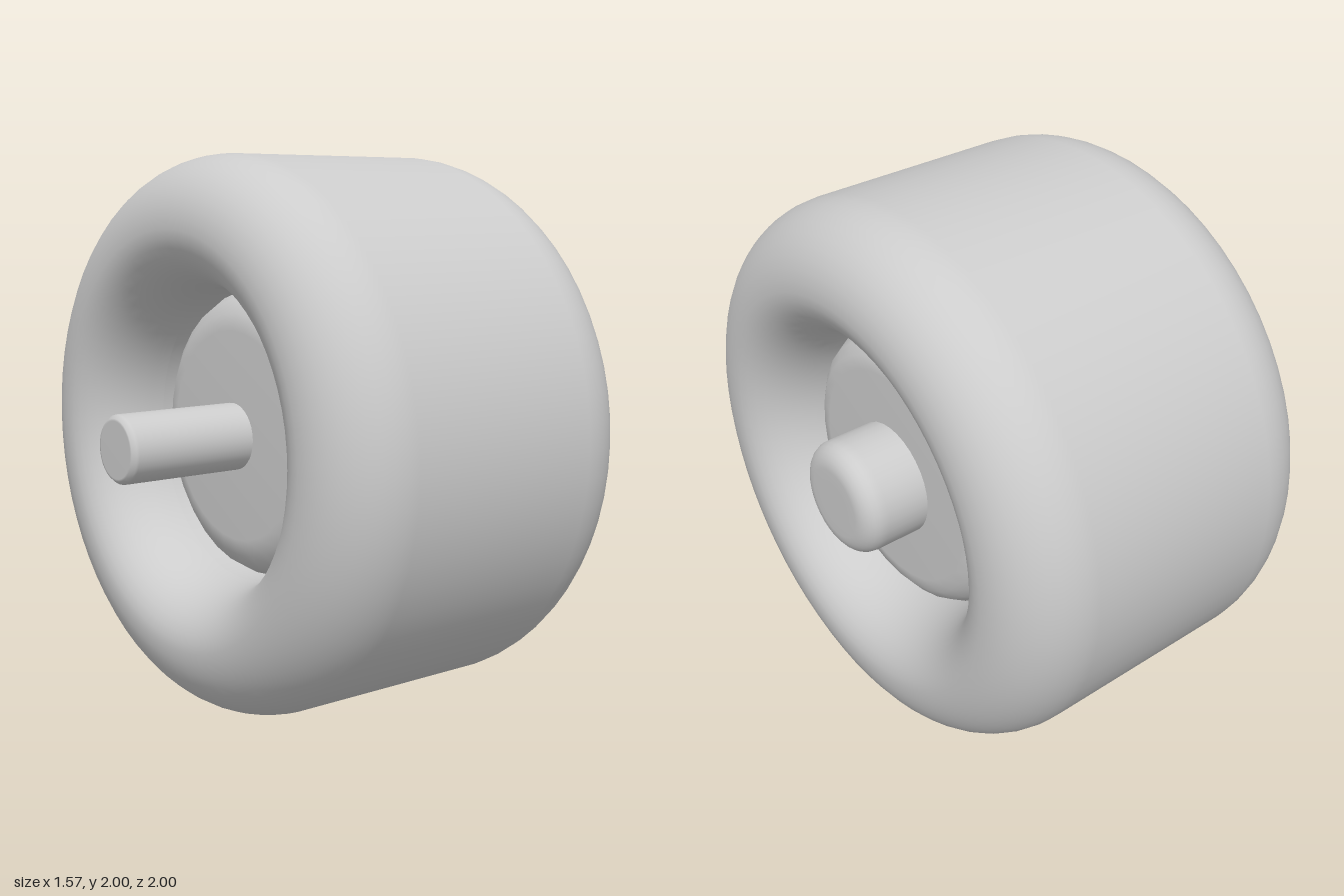
import * as THREE from 'three';

const grey = new THREE.MeshStandardMaterial({ color: 0xcccccc });
grey.name = 'plain grey';

// Revolves [radius, x] points, listed from -x to +x on the outside, about the wheel axis.
function turned(name, points, segments) {
  const profile = points.map(([r, x]) => new THREE.Vector2(r, x));
  const geometry = new THREE.LatheGeometry(profile, segments);
  geometry.rotateZ(-Math.PI / 2);
  geometry.translate(0, 1, 0);
  const mesh = new THREE.Mesh(geometry, grey);
  mesh.name = name;
  return mesh;
}

// Elliptical arc of profile points, angles in quarter turns.
function arc(r, x, radiusR, radiusX, from, to, steps = 10) {
  return Array.from({ length: steps + 1 }, (_, i) => {
    const a = (from + (to - from) * i / steps) * Math.PI / 2;
    return [r + radiusR * Math.cos(a), x + radiusX * Math.sin(a)];
  });
}

export function createModel() {
  const wheel = new THREE.Group();
  wheel.name = 'wheel';

  // Tyre: rounded shoulders and bowl-shaped recesses on both sides
  wheel.add(turned('tyre', [
    ...arc(0.74, -0.27, 0.21, 0.30, -2, -1),
    ...arc(0.74, -0.30, 0.26, 0.27, -1, 0).slice(1),
    ...arc(0.74, 0.465, 0.26, 0.27, 0, 1),
    ...arc(0.74, 0.435, 0.21, 0.30, 1, 2).slice(1),
    [0.53, 0.2], [0.53, -0.27],
  ], 64));

  // Hub: thick disc with softened rims, filling the middle of the tyre
  wheel.add(turned('hub', [
    [0, -0.30], [0.38, -0.30], [0.44, -0.285], [0.49, -0.25], [0.52, -0.20],
    [0.535, -0.1], [0.535, 0.36], [0.52, 0.45], [0.49, 0.50], [0.45, 0.53],
    [0.40, 0.54], [0, 0.54],
  ], 32));

  // Axle stub on the inner side
  wheel.add(turned('axle', [
    [0, -0.785], [0.10, -0.785], [0.108, -0.784], [0.12, -0.77], [0.121, -0.76],
    [0.121, -0.25],
  ], 32));

  // Rounded cap on the outer side
  wheel.add(turned('hubCap', [
    [0.207, 0.48], [0.207, 0.70],
    ...arc(0.127, 0.715, 0.08, 0.07, 0, 1, 6),
    [0.08, 0.785], [0, 0.785],
  ], 32));

  return wheel;
}
